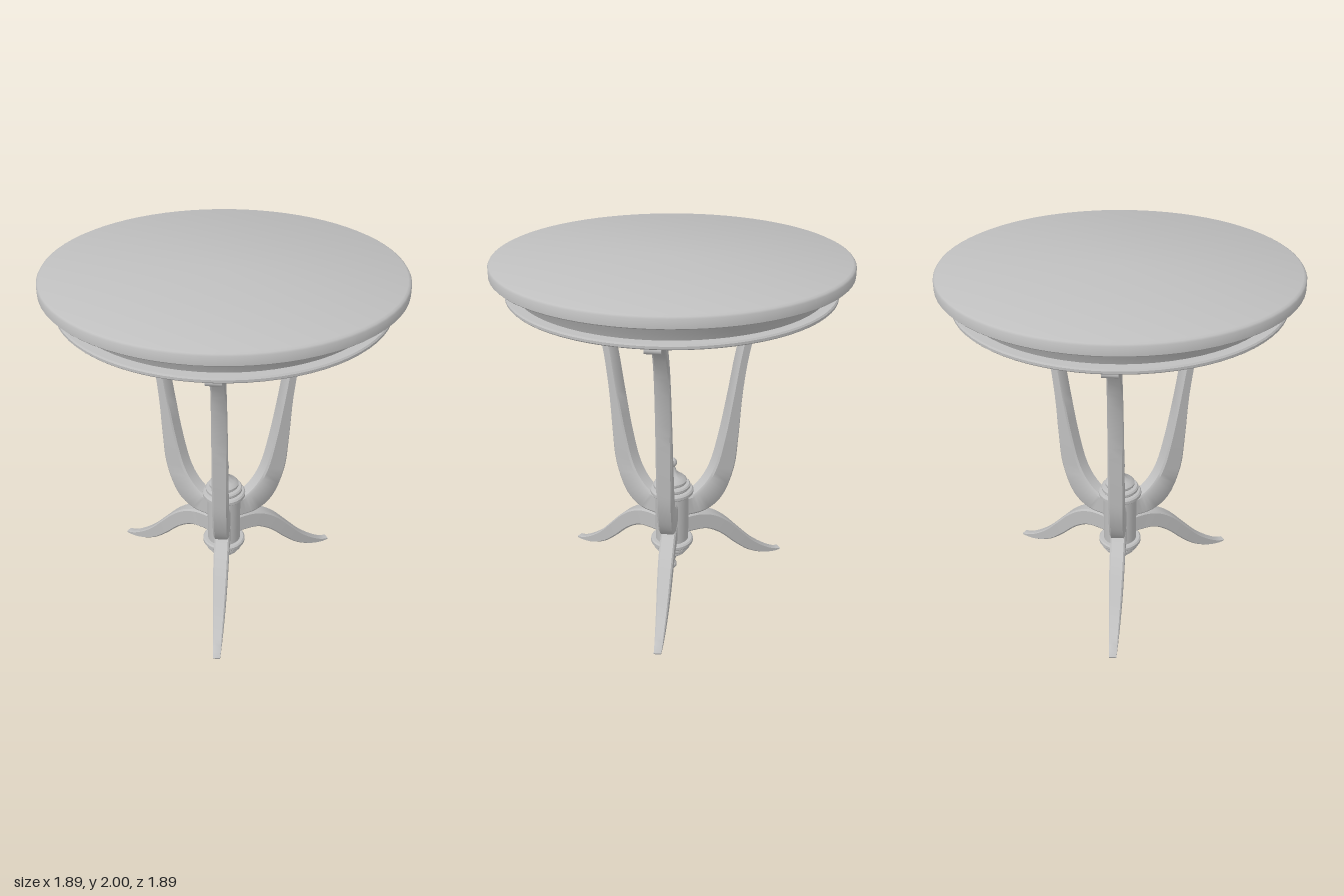
import * as THREE from 'three';
import { toCreasedNormals } from 'three/addons/utils/BufferGeometryUtils.js';

const gray = new THREE.MeshStandardMaterial({ color: 0xbfbfbf });
gray.name = 'plain gray';

function addMesh(parent, name, geometry, crease = 0.6) {
  const mesh = new THREE.Mesh(toCreasedNormals(geometry, crease), gray);
  mesh.name = name;
  parent.add(mesh);
  return mesh;
}

function lathe(points, segments) {
  return new THREE.LatheGeometry(points.map(([r, y]) => new THREE.Vector2(r, y)), segments);
}

// Sweeps a chamfered rectangle outward along +x.
// Each station is [lowerX, lowerY, upperX, upperY, halfWidth].
function sweptLeg(stations, steps) {
  const lower = new THREE.CatmullRomCurve3(stations.map(s => new THREE.Vector3(s[0], s[1], s[4])));
  const upper = new THREE.CatmullRomCurve3(stations.map(s => new THREE.Vector3(s[2], s[3], s[4])));
  // cross-section: [fraction from lower to upper, fraction of half width]
  const section = [[1, -0.8], [1, 0.8], [0.91, 1], [0.09, 1], [0, 0.8], [0, -0.8], [0.09, -1], [0.91, -1]];
  const n = section.length;
  const position = [], index = [];
  for (let s = 0; s <= steps; s++) {
    const a = lower.getPoint(s / steps), b = upper.getPoint(s / steps);
    for (const [f, w] of section) {
      position.push(a.x + (b.x - a.x) * f, a.y + (b.y - a.y) * f, a.z * w);
    }
  }
  for (let s = 0; s < steps; s++) {
    for (let i = 0; i < n; i++) {
      const p = s * n + i, q = s * n + (i + 1) % n;
      index.push(p, q, p + n, q, q + n, p + n);
    }
  }
  const end = steps * n;
  for (let i = 1; i < n - 1; i++) {
    index.push(0, i + 1, i, end, end + i, end + i + 1);
  }
  const geometry = new THREE.BufferGeometry();
  geometry.setAttribute('position', new THREE.Float32BufferAttribute(position, 3));
  geometry.setIndex(index);
  return geometry;
}

export function createModel() {
  const table = new THREE.Group();
  table.name = 'pedestalTable';

  // Round top with a softened rim
  addMesh(table, 'tableTop', lathe([
    [0, 1.935], [0.938, 1.935], [0.943, 1.94], [0.943, 1.985], [0.937, 1.994], [0.925, 2], [0, 2],
  ], 72));

  // Tapered apron with a bead along its lower edge
  addMesh(table, 'apron', lathe([[0.81, 1.835], [0.825, 1.87], [0.862, 1.936]], 72));
  addMesh(table, 'apronBead', lathe([
    [0, 1.812], [0.862, 1.812], [0.868, 1.818], [0.868, 1.83], [0.862, 1.838], [0.8, 1.838],
  ], 72));

  // Turned column: plain shaft with a stepped finial at each end
  addMesh(table, 'columnShaft', new THREE.CylinderGeometry(0.097, 0.097, 0.38, 40, 1, true).translate(0, 0.44, 0));
  const finial = [ // radius, height above the shaft end
    [0.09, 0], [0.117, 0], [0.125, 0.008], [0.125, 0.025], [0.117, 0.034], [0.1, 0.036],
    [0.107, 0.044], [0.107, 0.058], [0.1, 0.066], [0.08, 0.068], [0.086, 0.076], [0.086, 0.088],
    [0.078, 0.097], [0.066, 0.106], [0.045, 0.12], [0.028, 0.14], [0.02, 0.162], [0.017, 0.172],
  ];
  for (let i = 0; i <= 8; i++) { // ball tip
    const a = -0.9 + (Math.PI / 2 + 0.9) * i / 8;
    finial.push([Math.max(0, 0.029 * Math.cos(a)), 0.197 + 0.029 * Math.sin(a)]);
  }
  addMesh(table, 'upperFinial', lathe(finial.map(([r, h]) => [r, 0.588 + h]), 36));
  addMesh(table, 'lowerFinial', lathe(finial.map(([r, h]) => [r, 0.285 - h]).reverse(), 36));

  // Arm that rises from the column to the top
  const arm = sweptLeg([
    [0.06, 0.43, 0.06, 0.55, 0.043],
    [0.20, 0.435, 0.125, 0.562, 0.043],
    [0.305, 0.50, 0.20, 0.62, 0.043],
    [0.385, 0.68, 0.257, 0.71, 0.043],
    [0.408, 0.88, 0.308, 0.88, 0.043],
    [0.428, 1.16, 0.362, 1.14, 0.042],
    [0.465, 1.40, 0.405, 1.38, 0.04],
    [0.515, 1.565, 0.45, 1.56, 0.038],
    [0.582, 1.68, 0.522, 1.705, 0.036],
    [0.672, 1.757, 0.628, 1.79, 0.036],
    [0.75, 1.772, 0.735, 1.812, 0.036],
    [0.815, 1.776, 0.815, 1.812, 0.036],
  ], 44);

  // Splayed foot that tapers to the floor
  const foot = sweptLeg([
    [0.06, 0.31, 0.06, 0.428, 0.043],
    [0.135, 0.312, 0.17, 0.427, 0.043],
    [0.215, 0.303, 0.26, 0.398, 0.043],
    [0.305, 0.25, 0.35, 0.335, 0.042],
    [0.41, 0.15, 0.45, 0.23, 0.038],
    [0.51, 0.068, 0.545, 0.13, 0.032],
    [0.62, 0.016, 0.645, 0.054, 0.026],
    [0.70, 0.001, 0.71, 0.02, 0.022],
    [0.742, 0.002, 0.746, 0.012, 0.02],
  ], 32);

  // Three legs spaced evenly around the column
  for (const [i, angle] of [Math.PI, Math.PI / 3, -Math.PI / 3].entries()) {
    const leg = new THREE.Group();
    leg.name = 'leg' + (i + 1);
    leg.rotation.y = angle;
    addMesh(leg, 'arm', arm);
    addMesh(leg, 'foot', foot);
    // small rolled end under the top
    addMesh(leg, 'armScroll', new THREE.CylinderGeometry(0.02, 0.02, 0.078, 16)
      .rotateX(Math.PI / 2).translate(0.815, 1.793, 0));
    table.add(leg);
  }
  return table;
}
